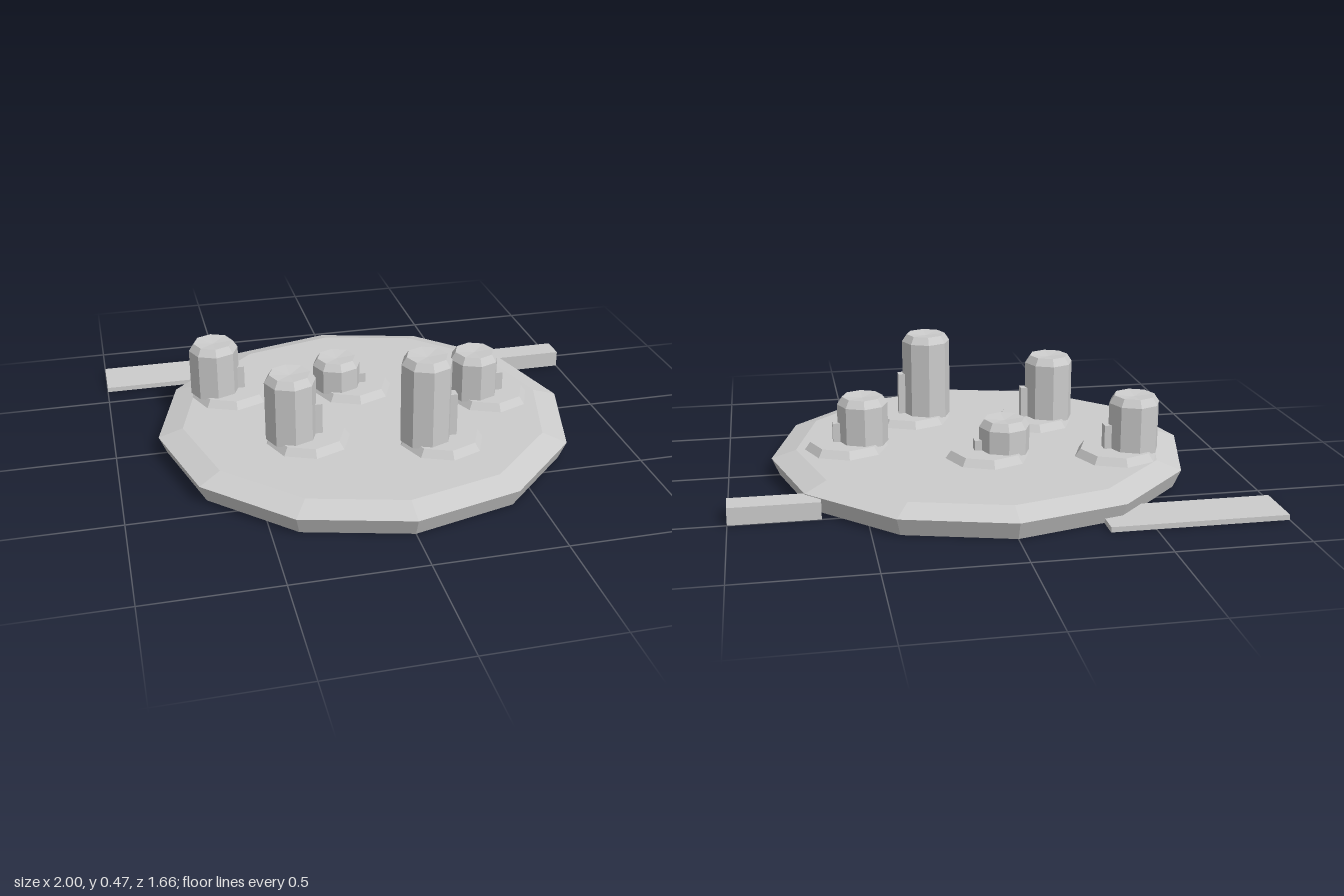
import * as THREE from 'three';

const grey = new THREE.MeshStandardMaterial({ color: 0xcccccc, flatShading: true });
grey.name = 'lightGrey';

// Faceted solid of revolution from [radius, height] pairs, bottom to top
function turned(name, profile, sides, x = 0, z = 0) {
  const points = profile.map(([r, y]) => new THREE.Vector2(r, y));
  const mesh = new THREE.Mesh(new THREE.LatheGeometry(points, sides), grey);
  mesh.name = name;
  mesh.position.set(x, 0, z);
  return mesh;
}

// Box given by its minimum and maximum corners
function block(name, [x0, y0, z0], [x1, y1, z1]) {
  const mesh = new THREE.Mesh(new THREE.BoxGeometry(x1 - x0, y1 - y0, z1 - z0), grey);
  mesh.name = name;
  mesh.position.set((x0 + x1) / 2, (y0 + y1) / 2, (z0 + z1) / 2);
  return mesh;
}

// Octagonal tower set off-centre on a low pad, with a raised strip on its +x side
function tower(x, z, top) {
  const group = new THREE.Group();
  group.name = 'tower';
  const tx = x - 0.067;
  const stripTop = 0.02 + 0.6 * top;
  group.add(
    turned('pad', [[0, 0.1], [0.165, 0.1], [0.143, 0.13], [0, 0.13]], 8, x, z),
    turned('shaft', [[0, 0.12], [0.1, 0.12], [0.1, top - 0.03], [0.08, top], [0, top - 0.008]], 8, tx, z),
    block('strip', [tx + 0.08, 0.12, z - 0.02], [tx + 0.12, stripTop, z + 0.02]),
  );
  return group;
}

export function createModel() {
  const model = new THREE.Group();
  model.name = 'towerPlatform';

  // Twelve-sided platform with a sloping rim
  model.add(turned('platform', [[0, 0], [0.8, 0], [0.83, 0.07], [0.733, 0.1], [0, 0.1]], 12));

  // Towers: pad x, pad z, top height
  const towers = [
    [-0.5, -0.267, 0.34],
    [0, -0.2, 0.25],
    [0.533, 0, 0.31],
    [-0.267, 0.2, 0.39],
    [0.233, 0.333, 0.47],
  ];
  for (const t of towers) model.add(tower(...t));

  // Flat ramp at the back and short arm at the side
  model.add(block('ramp', [-1, 0, -0.8], [-0.333, 0.02, -0.6]));
  model.add(block('arm', [0.663, 0, -0.5], [1, 0.067, -0.4]));
  return model;
}
